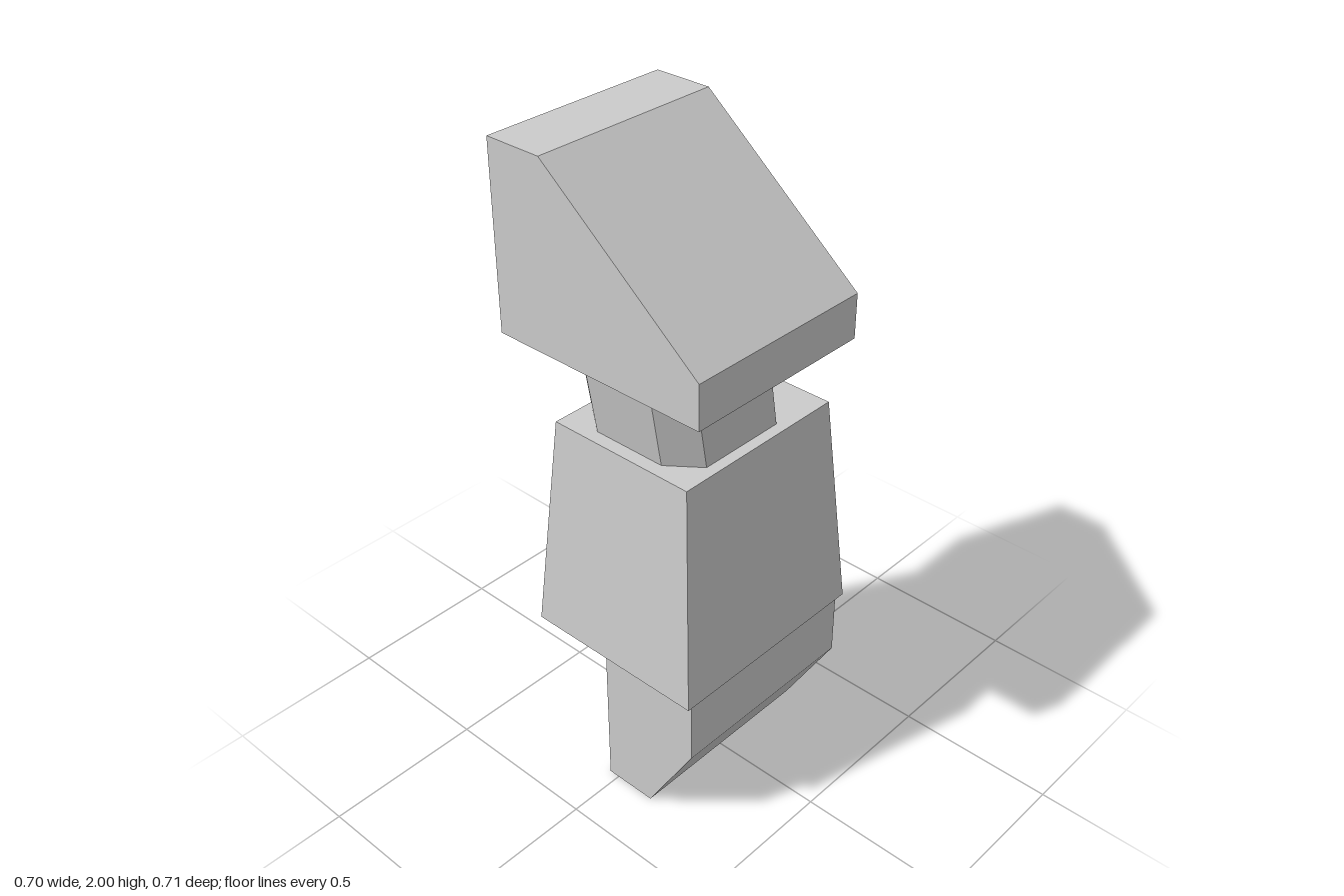
import * as THREE from 'three';

const material = new THREE.MeshStandardMaterial({ color: 0xcccccc, flatShading: true });

function part(name, geometry) {
  const mesh = new THREE.Mesh(geometry, material);
  mesh.name = name;
  return mesh;
}

// Side profile of [z, y] points, swept across from x0 to x1.
function sideProfile(points, x0, x1) {
  const shape = new THREE.Shape(points.map(([z, y]) => new THREE.Vector2(z, y)));
  const geometry = new THREE.ExtrudeGeometry(shape, { depth: x1 - x0, bevelEnabled: false });
  return geometry.rotateY(-Math.PI / 2).translate(x1, 0, 0);
}

// Footprint of [x, z] points raised from y0 to y1; moveTop(x, z) places the upper rim.
function risingPrism(points, y0, y1, moveTop) {
  const shape = new THREE.Shape(points.map(([x, z]) => new THREE.Vector2(x, -z)));
  const geometry = new THREE.ExtrudeGeometry(shape, { depth: y1 - y0, bevelEnabled: false });
  geometry.rotateX(-Math.PI / 2).translate(0, y0, 0);
  const pos = geometry.attributes.position;
  const middle = (y0 + y1) / 2;
  for (let i = 0; i < pos.count; i++) {
    if (pos.getY(i) < middle) continue;
    const [x, z] = moveTop(pos.getX(i), pos.getZ(i));
    pos.setXYZ(i, x, y1, z);
  }
  geometry.computeVertexNormals();
  return geometry;
}

// Rectangle with cut corners (cx along x, cz along z).
function cutRectangle(x0, x1, z0, z1, cx, cz) {
  return [
    [x0 + cx, z1], [x1 - cx, z1], [x1, z1 - cz], [x1, z0 + cz],
    [x1 - cx, z0], [x0 + cx, z0], [x0, z0 + cz], [x0, z1 - cz],
  ];
}

export function createModel() {
  const model = new THREE.Group();
  model.name = 'figure';

  // Base block with a sloping front underside
  model.add(part('base', sideProfile(
    [[-0.035, 0], [0.135, 0], [0.303, 0.285], [0.303, 0.497], [-0.035, 0.497]], -0.318, 0.328)));

  // Small wedge behind the base
  model.add(part('rearWedge', sideProfile(
    [[-0.035, 0.185], [-0.035, 0.497], [-0.256, 0.497], [-0.256, 0.415]], -0.092, 0.092)));

  // Body, tapering upwards
  const body = [[-0.345, 0.316], [0.347, 0.316], [0.347, -0.28], [-0.345, -0.28]];
  model.add(part('body', risingPrism(body, 0.497, 1.19,
    (x, z) => [Math.sign(x) * 0.292, z > 0 ? 0.261 : -0.225])));

  // Eight-sided neck leaning to one side
  const neck = cutRectangle(-0.25, 0.18, -0.2, 0.226, 0.073, 0.094);
  model.add(part('neck', risingPrism(neck, 1.19, 1.443, (x, z) => [x - 0.043, z])));

  // Head with a long sloping front
  model.add(part('head', sideProfile(
    [[-0.355, 1.443], [0.355, 1.443], [0.355, 1.578], [-0.17, 2], [-0.355, 2]], -0.35, 0.262)));

  return model;
}
